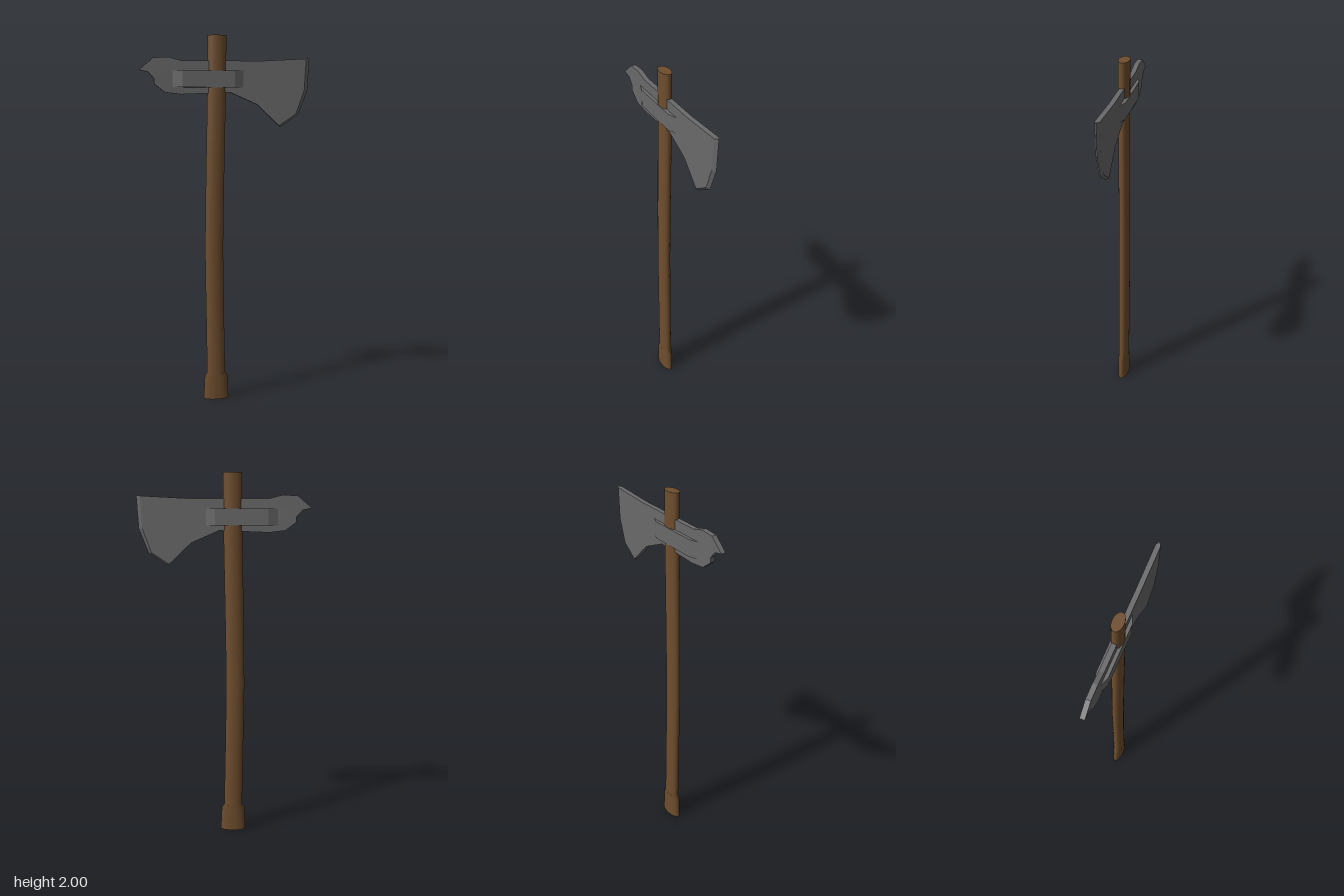
import * as THREE from 'three';

const wood = new THREE.MeshStandardMaterial({ color: 0x6f4e2e });
const steel = new THREE.MeshStandardMaterial({ color: 0x6a6a6a, flatShading: true });

function addMesh(group, name, geometry, material) {
  const mesh = new THREE.Mesh(geometry, material);
  mesh.name = name;
  group.add(mesh);
}

// Capped oval tube; sections run from top to bottom as [y, centreX, radiusX]
function ovalLoft(sections, rz) {
  const rows = sections.length - 1;
  const geo = new THREE.CylinderGeometry(1, 1, 1, 32, rows);
  const p = geo.attributes.position, n = geo.attributes.normal;
  for (let i = 0; i < p.count; i++) {
    const [y, cx, rx] = sections[Math.round((0.5 - p.getY(i)) * rows)];
    const x = p.getX(i), z = p.getZ(i);
    p.setXYZ(i, cx + x * rx, y, z * rz);
    if (Math.abs(n.getY(i)) < 0.5) {
      const v = new THREE.Vector3(x / rx, 0, z / rz).normalize();
      n.setXYZ(i, v.x, v.y, v.z);
    }
  }
  return geo;
}

function polygon(points) {
  return new THREE.Shape(points.map(([x, y]) => new THREE.Vector2(x, y)));
}

export function createModel() {
  const group = new THREE.Group();
  group.name = 'axe';

  // Gently bowed handle and its wider foot
  addMesh(group, 'handle', ovalLoft([
    [2, -0.046, 0.05], [1.75, -0.048, 0.05], [1.45, -0.054, 0.05], [1.15, -0.06, 0.05],
    [0.85, -0.064, 0.05], [0.6, -0.061, 0.05], [0.35, -0.057, 0.05], [0.12, -0.054, 0.051],
  ], 0.029), wood);
  addMesh(group, 'handleFoot', ovalLoft([
    [0.147, -0.054, 0.051], [0.13, -0.054, 0.064], [0, -0.054, 0.07],
  ], 0.0295), wood);

  // Flat head: broad blade on one side, hooked poll on the other
  const t = 0.013;
  const bevelStart = [[0.437, 1.88], [0.428, 1.71], [0.383, 1.585], [0.29, 1.522]];
  const cuttingEdge = [[0.458, 1.883], [0.448, 1.71], [0.398, 1.58], [0.302, 1.515]];
  const head = new THREE.ExtrudeGeometry(polygon([
    [-0.462, 1.817], [-0.388, 1.88], [-0.31, 1.885], [-0.24, 1.867], [0.195, 1.867],
    ...bevelStart,
    [0.172, 1.635], [0.024, 1.7], [-0.24, 1.69], [-0.325, 1.7], [-0.383, 1.744],
    [-0.383, 1.772], [-0.415, 1.807],
  ]), { depth: 2 * t, bevelEnabled: false });
  head.translate(0, 0, -t);
  addMesh(group, 'axeHead', head, steel);

  // Ground edge: triangular sections swept down the blade
  const pos = [], index = [];
  bevelStart.forEach(([x, y], i) => {
    pos.push(x, y, t, ...cuttingEdge[i], 0, x, y, -t);
    if (i === 0) return;
    const a = 3 * (i - 1), b = 3 * i;
    index.push(a, b, b + 1, a, b + 1, a + 1);
    index.push(a + 1, b + 1, b + 2, a + 1, b + 2, a + 2);
  });
  const last = 3 * (bevelStart.length - 1);
  index.push(0, 1, 2, last, last + 2, last + 1);
  const edge = new THREE.BufferGeometry();
  edge.setAttribute('position', new THREE.Float32BufferAttribute(pos, 3));
  edge.setIndex(index);
  edge.computeVertexNormals();
  addMesh(group, 'cuttingEdge', edge, steel);

  // Collar wrapping the handle, tapering into the head at both ends
  const collar = new THREE.ExtrudeGeometry(polygon([
    [-0.288, -0.012], [-0.235, -0.031], [0.045, -0.031], [0.096, -0.012],
    [0.096, 0.012], [0.045, 0.031], [-0.235, 0.031], [-0.288, 0.012],
  ]), { depth: 0.088, bevelEnabled: false });
  collar.rotateX(-Math.PI / 2).translate(0, 1.727, 0);
  addMesh(group, 'collar', collar, steel);

  return group;
}
